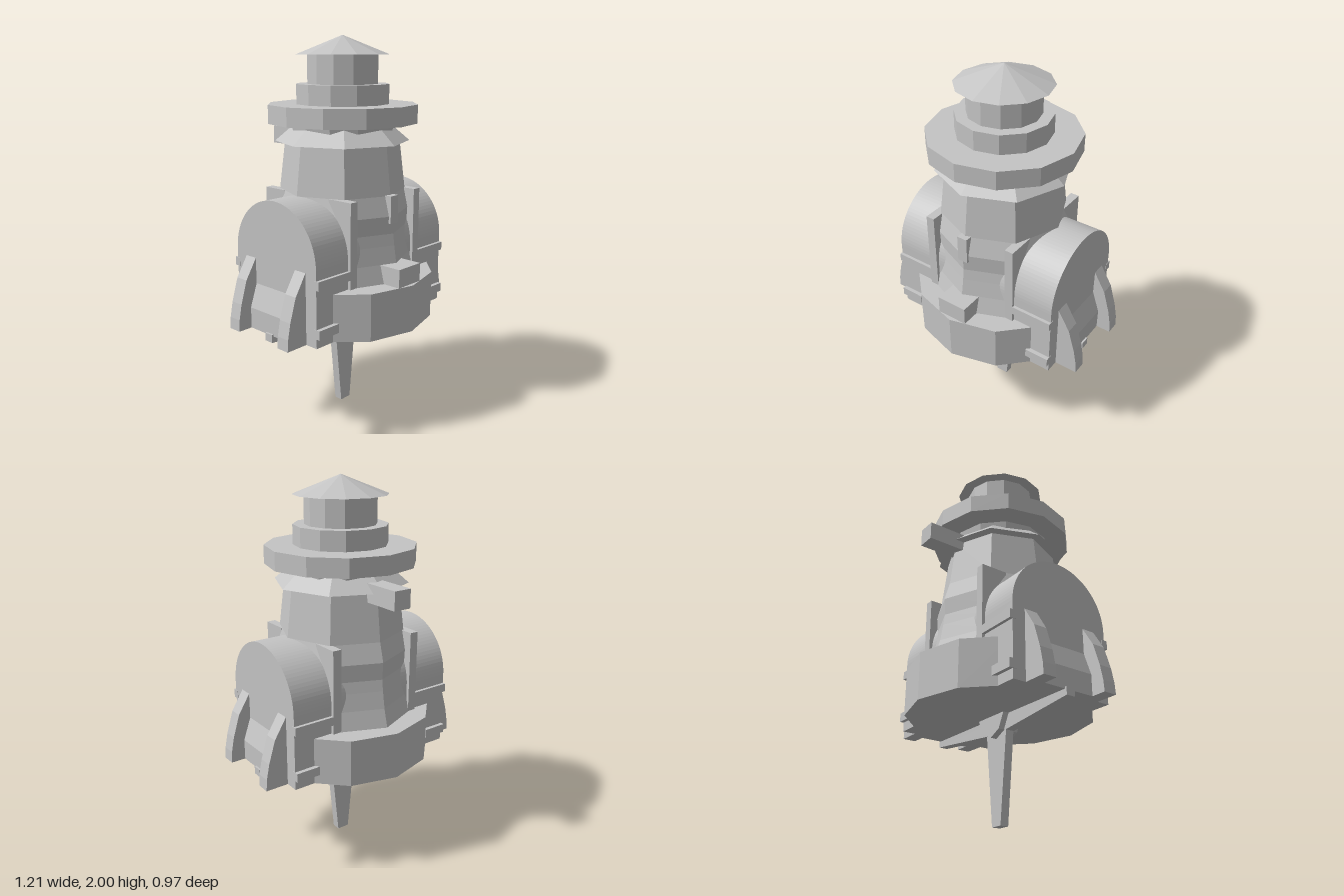
import * as THREE from 'three';

export function createModel() {
  const model = new THREE.Group();
  model.name = 'lighthouse';
  const stone = new THREE.MeshStandardMaterial({ color: 0xc4c4c4, flatShading: true });
  stone.name = 'pale grey';

  function add(name, geometry) {
    const mesh = new THREE.Mesh(geometry, stone);
    mesh.name = name;
    model.add(mesh);
    return mesh;
  }

  // Box given by its limits on each axis
  function box(name, x0, x1, y0, y1, z0, z1) {
    const g = new THREE.BoxGeometry(Math.abs(x1 - x0), y1 - y0, Math.abs(z1 - z0));
    g.translate((x0 + x1) / 2, (y0 + y1) / 2, (z0 + z1) / 2);
    return add(name, g);
  }

  // Upright faceted drum or cone
  function drum(name, rBottom, rTop, y0, y1, sides = 12) {
    const g = new THREE.CylinderGeometry(rTop, rBottom, y1 - y0, sides);
    g.translate(0, (y0 + y1) / 2, 0);
    return add(name, g);
  }

  // Outline in x and y, thickened along z about a centre
  function slab(name, points, zCentre, thickness) {
    const shape = new THREE.Shape(points.map(([x, y]) => new THREE.Vector2(x, y)));
    const g = new THREE.ExtrudeGeometry(shape, { depth: thickness, bevelEnabled: false });
    g.translate(0, 0, zCentre - thickness / 2);
    return add(name, g);
  }

  // Main tower and base
  drum('base', 0.485, 0.485, 0.54, 0.785);
  const profile = [
    [0, 0.6], [0.42, 0.7], [0.40, 0.785], [0.375, 0.88], [0.36, 0.97],
    [0.352, 1.03], [0.357, 1.12], [0.33, 1.22], [0.298, 1.48], [0, 1.5],
  ];
  add('tower', new THREE.LatheGeometry(profile.map(([r, y]) => new THREE.Vector2(r, y)), 8));

  // Gallery, lantern and roof
  drum('skirt', 0.35, 0.22, 1.47, 1.58, 8);
  drum('galleryNeck', 0.255, 0.27, 1.48, 1.57);
  drum('gallery', 0.39, 0.39, 1.565, 1.66);
  drum('lanternBase', 0.243, 0.243, 1.66, 1.76);
  drum('lantern', 0.185, 0.185, 1.76, 1.91);
  drum('roof', 0.243, 0, 1.905, 2.0);

  // Arched housing running through the tower from side to side
  const arch = new THREE.Shape();
  arch.moveTo(-0.29, 0.54);
  arch.lineTo(0.29, 0.54);
  arch.lineTo(0.29, 0.93);
  arch.absarc(0, 0.93, 0.29, 0, Math.PI, false);
  const archGeometry = new THREE.ExtrudeGeometry(arch, { depth: 0.97, bevelEnabled: false, curveSegments: 24 });
  archGeometry.translate(0, 0, -0.485);
  archGeometry.rotateY(Math.PI / 2);
  add('archedHousing', archGeometry);

  for (const sx of [1, -1]) {
    // Sloped panel between the side buttresses
    slab('sidePanel', [[sx * 0.47, 0.54], [sx * 0.527, 0.54], [sx * 0.527, 0.65], [sx * 0.485, 0.77], [sx * 0.47, 0.77]], 0, 0.3);

    for (const sz of [1, -1]) {
      // Curved buttresses
      slab('buttress', [
        [sx * 0.47, 0.54], [sx * 0.607, 0.54], [sx * 0.603, 0.6], [sx * 0.587, 0.68],
        [sx * 0.55, 0.8], [sx * 0.485, 0.905], [sx * 0.47, 0.905],
      ], sz * 0.182, 0.073);

      // Upright plates and rails on the housing faces
      box('uprightPlate', sx * 0.22, sx * 0.267, 0.54, 1.22, sz * 0.16, sz * 0.307);
      box('upperRail', sx * 0.22, sx * 0.487, 0.835, 0.88, sz * 0.27, sz * 0.307);
      box('lowerRail', sx * 0.355, sx * 0.487, 0.59, 0.637, sz * 0.27, sz * 0.312);
    }
  }

  // Front and back details
  box('frontFin', -0.028, 0.028, 1.085, 1.225, 0.28, 0.357);
  box('frontStep', -0.083, 0.083, 0.77, 0.88, 0.33, 0.463);
  box('backBlock', -0.048, 0.048, 1.42, 1.515, -0.487, -0.25);

  // Cross beam, hub and tapered spike underneath
  slab('crossBeam', [
    [-0.537, 0.55], [-0.537, 0.508], [-0.08, 0.46], [0.08, 0.46], [0.537, 0.508], [0.537, 0.55],
  ], 0, 0.05);
  slab('hub', [[-0.107, 0.545], [-0.066, 0.462], [0, 0.43], [0.066, 0.462], [0.107, 0.545]], 0, 0.116);
  slab('spike', [[-0.085, 0.5], [-0.034, 0], [0.034, 0], [0.085, 0.5]], 0, 0.046);

  return model;
}
